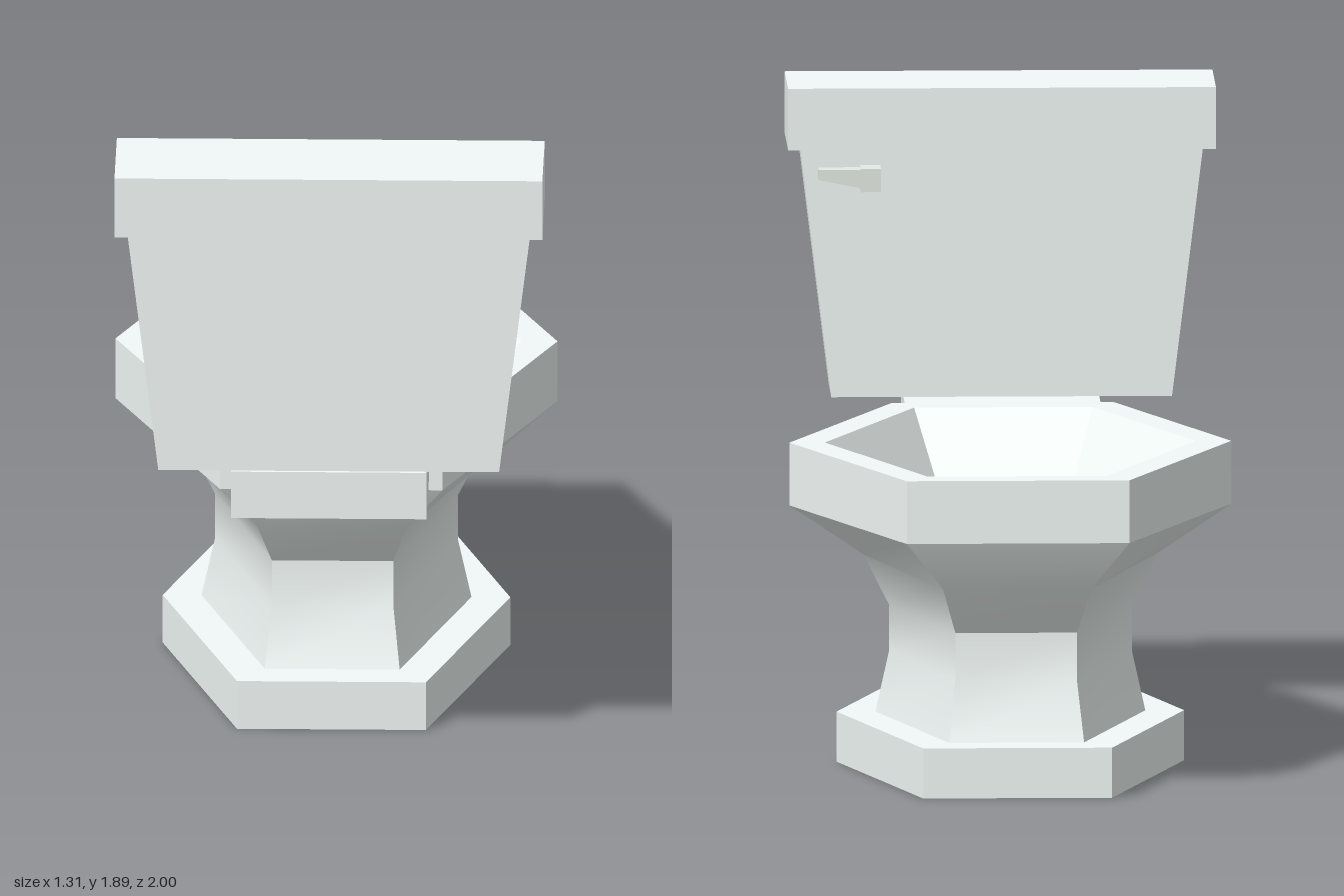
import * as THREE from 'three';
import { toCreasedNormals } from 'three/addons/utils/BufferGeometryUtils.js';

const BOWL_Z = -0.207; // centre of the six-sided bowl and foot

const material = (color) => new THREE.MeshStandardMaterial({ color });
const porcelain = material(0xf3faf8);
const metal = material(0xe6ebe4);
const water = material(0x4a6060);

// Six corners: w = half width at the middle, n = half width at the ends, l = half length
const hexagon = ([y, w, n, l]) =>
  [[w, 0], [n, l], [-n, l], [-w, 0], [-n, -l], [n, -l]].map(([x, z]) => [x, y, BOWL_Z + z]);

// Flat fan over a ring of corners, facing up or down
function fan(ring, up) {
  const out = [];
  for (let i = 1; i < ring.length - 1; i++) {
    out.push(...ring[0], ...(up ? ring[i + 1] : ring[i]), ...(up ? ring[i] : ring[i + 1]));
  }
  return out;
}

// Walls joining successive hexagons
function walls(sections) {
  const rings = sections.map(hexagon);
  const out = [];
  for (let k = 0; k < rings.length - 1; k++) {
    const a = rings[k], b = rings[k + 1];
    for (let i = 0; i < 6; i++) {
      const j = (i + 1) % 6;
      out.push(...a[i], ...b[i], ...a[j], ...a[j], ...b[i], ...b[j]);
    }
  }
  return out;
}

function surface(positions, crease = 0.1) {
  const geometry = new THREE.BufferGeometry();
  geometry.setAttribute('position', new THREE.Float32BufferAttribute(positions, 3));
  return toCreasedNormals(geometry, crease);
}

// Box given by its lower and upper limits
function box(x0, x1, y0, y1, z0, z1) {
  return new THREE.BoxGeometry(x1 - x0, y1 - y0, z1 - z0)
    .translate((x0 + x1) / 2, (y0 + y1) / 2, (z0 + z1) / 2);
}

// Outline in x and y, extruded from z0 to z1
function slab(points, z0, z1) {
  const shape = new THREE.Shape(points.map(([x, y]) => new THREE.Vector2(x, y)));
  return new THREE.ExtrudeGeometry(shape, { depth: z1 - z0, bevelEnabled: false }).translate(0, 0, z0);
}

export function createModel() {
  const model = new THREE.Group();
  model.name = 'toilet';
  const add = (parent, name, geometry, mat = porcelain) => {
    const mesh = new THREE.Mesh(geometry, mat);
    mesh.name = name;
    parent.add(mesh);
  };

  // Foot plate
  const foot = [[0, 0.515, 0.28, 0.755], [0.15, 0.515, 0.28, 0.755]];
  add(model, 'foot', surface([
    ...walls(foot), ...fan(hexagon(foot[0]), false), ...fan(hexagon(foot[1]), true),
  ]));

  // Waisted pedestal flaring out to the rim
  add(model, 'pedestal', surface(walls([
    [0.15, 0.4, 0.2, 0.645],
    [0.33, 0.36, 0.18, 0.585],
    [0.47, 0.36, 0.18, 0.585],
    [0.62, 0.435, 0.22, 0.712],
    [0.768, 0.655, 0.33, 0.793],
  ]), 0.48));

  // Rim, sloping basin and the dry half of its floor
  const floor = [0.47, 0.237, 0.115, 0.3];
  const corners = hexagon(floor);
  add(model, 'bowl', surface([
    ...walls([
      [0.768, 0.655, 0.33, 0.793],
      [0.956, 0.655, 0.33, 0.793],
      [0.956, 0.55, 0.265, 0.7],
      floor,
    ]),
    ...fan(corners.slice(0, 4), true),
  ]));
  add(model, 'water', surface(fan([corners[3], corners[4], corners[5], corners[0]], true)), water);

  // Cistern on its shelf
  add(model, 'shelf', box(-0.29, 0.29, 0.81, 0.956, 0.57, 0.96));
  add(model, 'tank', slab([[-0.505, 0.96], [0.505, 0.96], [0.597, 1.705], [-0.597, 1.705]], 0.682, 0.961));
  add(model, 'tankLid', box(-0.634, 0.634, 1.705, 1.89, 0.643, 1));

  // Flush handle: square mount and tapered lever
  const handle = new THREE.Group();
  handle.name = 'flushHandle';
  add(handle, 'handleMount', box(0.36, 0.42, 1.585, 1.655, 0.605, 0.684), metal);
  add(handle, 'handleLever', slab([[0.42, 1.597], [0.545, 1.622], [0.545, 1.652], [0.42, 1.652]], 0.605, 0.66), metal);
  model.add(handle);

  return model;
}
